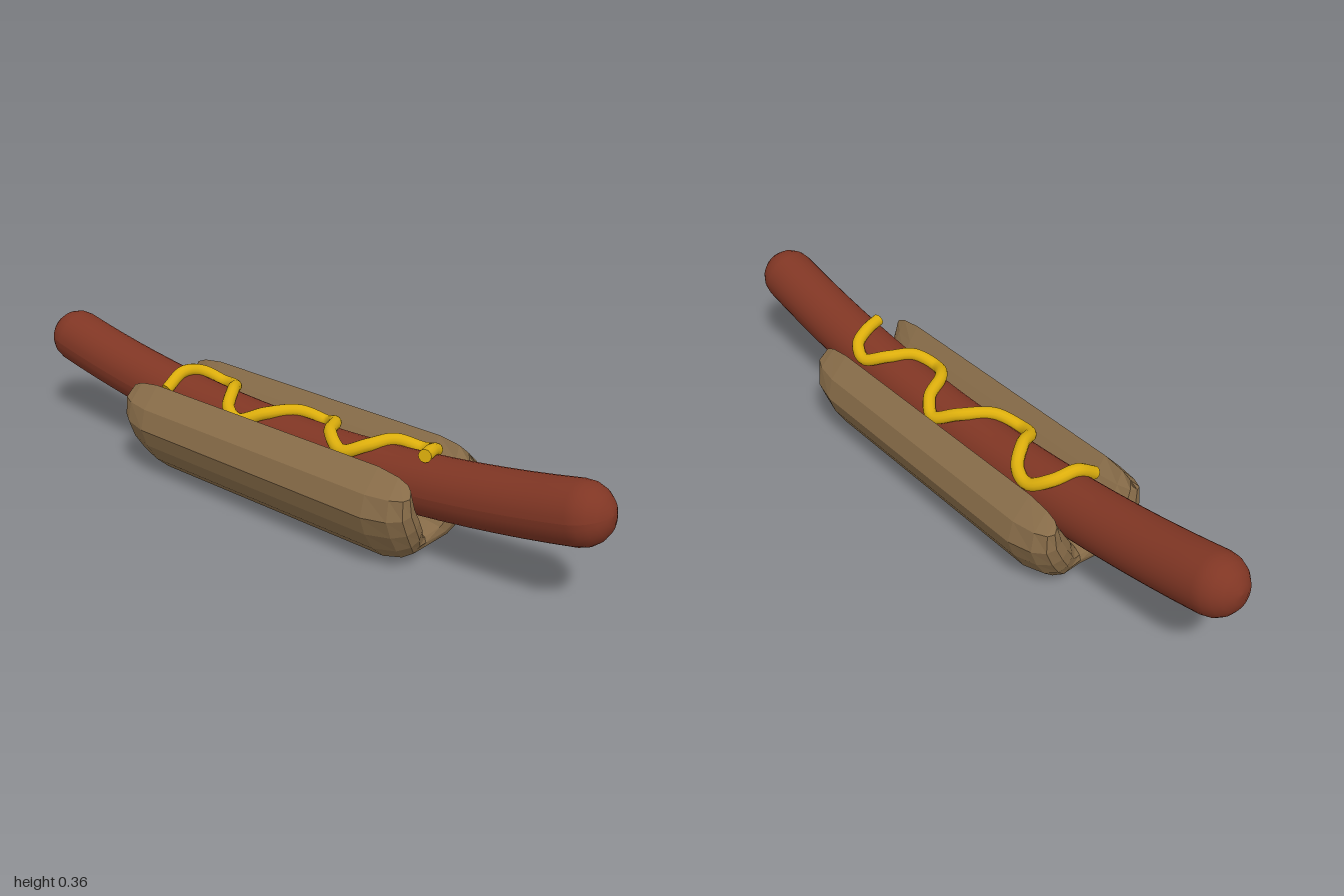
import * as THREE from 'three';

const BEND = 4.28;       // radius of the sausage's arc
const SAUSAGE_R = 0.083;
const MID_Y = 0.185;     // height of the sausage axis at the middle

const mat = (color, extra = {}) => new THREE.MeshStandardMaterial({ color, ...extra });

function named(name, geometry, material) {
  const mesh = new THREE.Mesh(geometry, material);
  mesh.name = name;
  return mesh;
}

// Straight capsule along z, bent upwards at both ends
function sausageGeometry() {
  const half = 1.008;
  const g = new THREE.CapsuleGeometry(SAUSAGE_R, 2 * (half - SAUSAGE_R), 5, 32, 24);
  g.rotateX(Math.PI / 2);
  const p = g.attributes.position;
  for (let i = 0; i < p.count; i++) {
    const a = p.getZ(i) / BEND, r = BEND - p.getY(i);
    p.setXYZ(i, p.getX(i), MID_Y + BEND - r * Math.cos(a), r * Math.sin(a));
  }
  g.computeVertexNormals();
  return g;
}

// V-slotted bun: paired outer and inner profile points that close up at the ends
function bunGeometry() {
  // outer x, y, inner x, y, length of the rounded end; from bottom centre to lip
  const half = [
    [0, 0.003, 0, 0.08, 0.475],
    [0.1, 0.02, 0.012, 0.104, 0.497],
    [0.145, 0.06, 0.03, 0.14, 0.517],
    [0.18, 0.115, 0.05, 0.17, 0.525],
    [0.2, 0.17, 0.075, 0.207, 0.525],
    [0.185, 0.23, 0.1, 0.247, 0.522],
    [0.13, 0.29, 0.13, 0.29, 0.515],
  ];
  const stations = [
    ...half.slice(1).reverse().map(([a, b, c, d, e]) => [-a, b, -c, d, e]),
    ...half,
  ];
  const toPoint = (s, inner) => {
    const lip = s[1] === s[3];
    return {
      x: inner ? s[2] : s[0], y: inner ? s[3] : s[1],
      mx: (s[0] + s[2]) / 2, my: lip ? 0.252 : (s[1] + s[3]) / 2, end: s[4],
    };
  };
  const ring = [
    ...stations.map(s => toPoint(s, false)),
    ...stations.slice(1, -1).reverse().map(s => toPoint(s, true)),
  ];
  // inset towards the midline, share of the end length
  const steps = [[0, 0], [0.25, 0.62], [0.6, 0.92], [1, 1]];
  const rings = [
    ...steps.slice().reverse().map(s => [...s, -1]),
    ...steps.map(s => [...s, 1]),
  ];
  const z0 = 0.41, pos = [], index = [], n = ring.length;
  for (const [inset, k, side] of rings) {
    for (const q of ring) {
      pos.push(q.x + (q.mx - q.x) * inset, q.y + (q.my - q.y) * inset,
        side * (z0 + (q.end - z0) * k));
    }
  }
  for (let j = 0; j < rings.length - 1; j++) {
    for (let i = 0; i < n; i++) {
      const a = j * n + i, b = j * n + (i + 1) % n;
      index.push(a, b, b + n, a, b + n, a + n);
    }
  }
  const g = new THREE.BufferGeometry();
  g.setAttribute('position', new THREE.Float32BufferAttribute(pos, 3));
  g.setIndex(index);
  const flat = g.toNonIndexed();
  flat.computeVertexNormals();
  return flat;
}

// Wavy line of mustard lying over the top of the sausage
function mustard(material) {
  const path = [
    [-0.085, -0.42], [-0.02, -0.417], [0.045, -0.4], [0.08, -0.345], [0.065, -0.285],
    [0, -0.23], [-0.065, -0.185], [-0.08, -0.13], [-0.04, -0.065], [0.04, -0.005],
    [0.08, 0.06], [0.05, 0.115], [-0.03, 0.165], [-0.07, 0.24], [-0.035, 0.3],
    [0.035, 0.335], [0.078, 0.395], [0.06, 0.45], [0.01, 0.472], [-0.04, 0.487],
  ];
  const points = path.map(([x, z], i) => {
    const axis = MID_Y + BEND - Math.sqrt(BEND * BEND - z * z);
    const lift = i === path.length - 1 ? 0.012 : 0;
    return new THREE.Vector3(x, axis + 0.095 - 0.035 * (x / 0.08) ** 2 + lift, z);
  });
  const curve = new THREE.CatmullRomCurve3(points);
  const group = new THREE.Group();
  group.name = 'mustard';
  group.add(named('mustardLine', new THREE.TubeGeometry(curve, 120, 0.018, 12), material));
  for (const t of [0, 1]) {
    const cap = named('mustardEnd', new THREE.CircleGeometry(0.018, 12), material);
    const dir = curve.getTangent(t).multiplyScalar(t ? 1 : -1);
    cap.position.copy(curve.getPoint(t));
    cap.quaternion.setFromUnitVectors(new THREE.Vector3(0, 0, 1), dir);
    group.add(cap);
  }
  return group;
}

export function createModel() {
  const model = new THREE.Group();
  model.name = 'hotDog';
  model.add(
    named('bun', bunGeometry(), mat(0x8a6e4a, { flatShading: true })),
    named('sausage', sausageGeometry(), mat(0x803624)),
    mustard(mat(0xdcae0c)),
  );
  return model;
}
